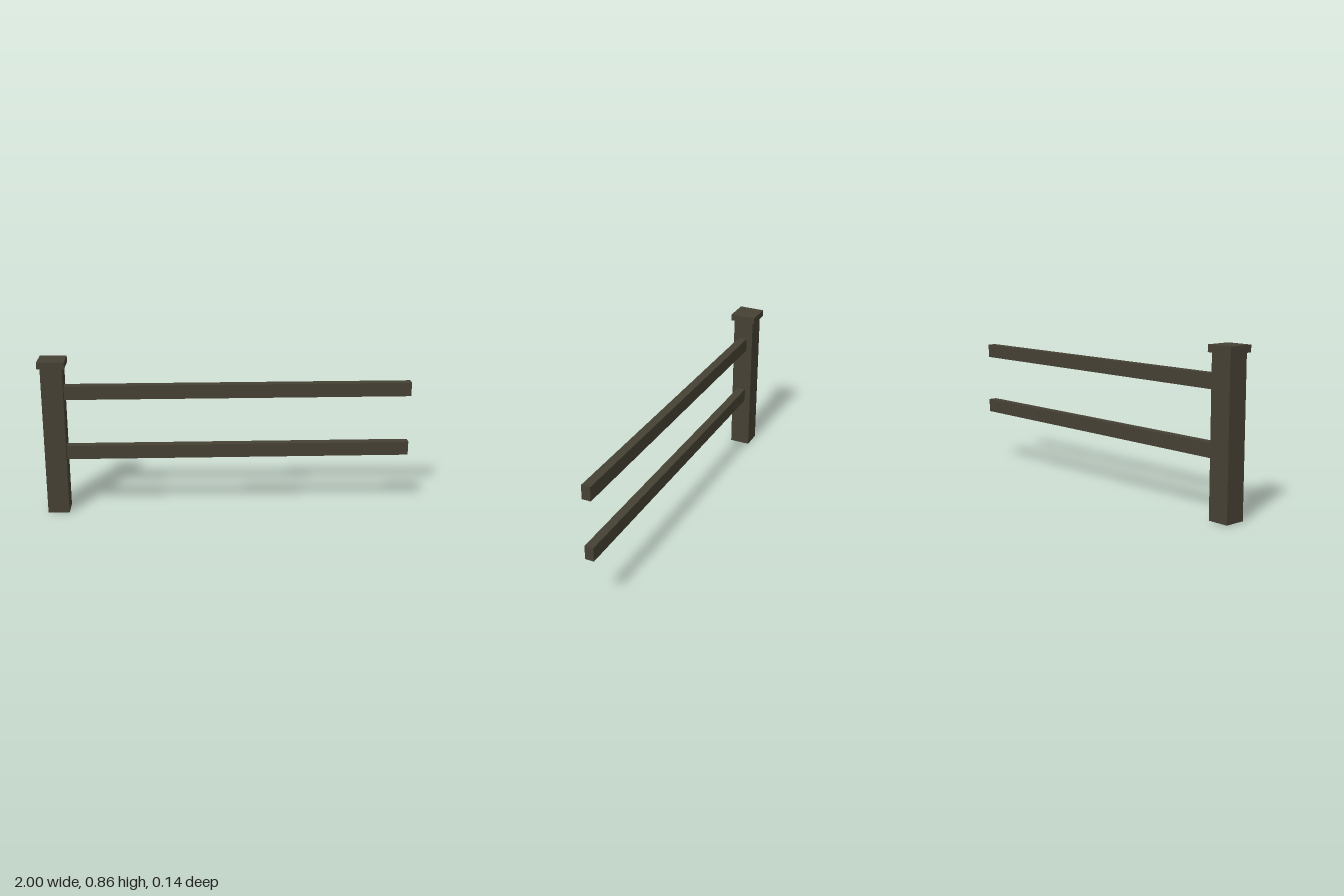
import * as THREE from 'three';

export function createModel() {
  const model = new THREE.Group();
  model.name = 'fenceSection';

  const darkWood = new THREE.MeshStandardMaterial({ color: 0x464134 });
  darkWood.name = 'darkWood';

  // Box given by its x and y extents and its depth, centred on z = 0
  function addBeam(name, x0, x1, y0, y1, depth) {
    const mesh = new THREE.Mesh(new THREE.BoxGeometry(x1 - x0, y1 - y0, depth), darkWood);
    mesh.position.set((x0 + x1) / 2, (y0 + y1) / 2, 0);
    mesh.name = name;
    model.add(mesh);
  }

  // Square post with an overhanging cap
  addBeam('post', -0.986, -0.87, 0, 0.823, 0.116);
  addBeam('postCap', -1, -0.856, 0.823, 0.86, 0.144);

  // Two horizontal rails running from the post's inner face
  addBeam('lowerRail', -0.87, 1, 0.301, 0.377, 0.048);
  addBeam('upperRail', -0.87, 1, 0.639, 0.715, 0.048);

  return model;
}
